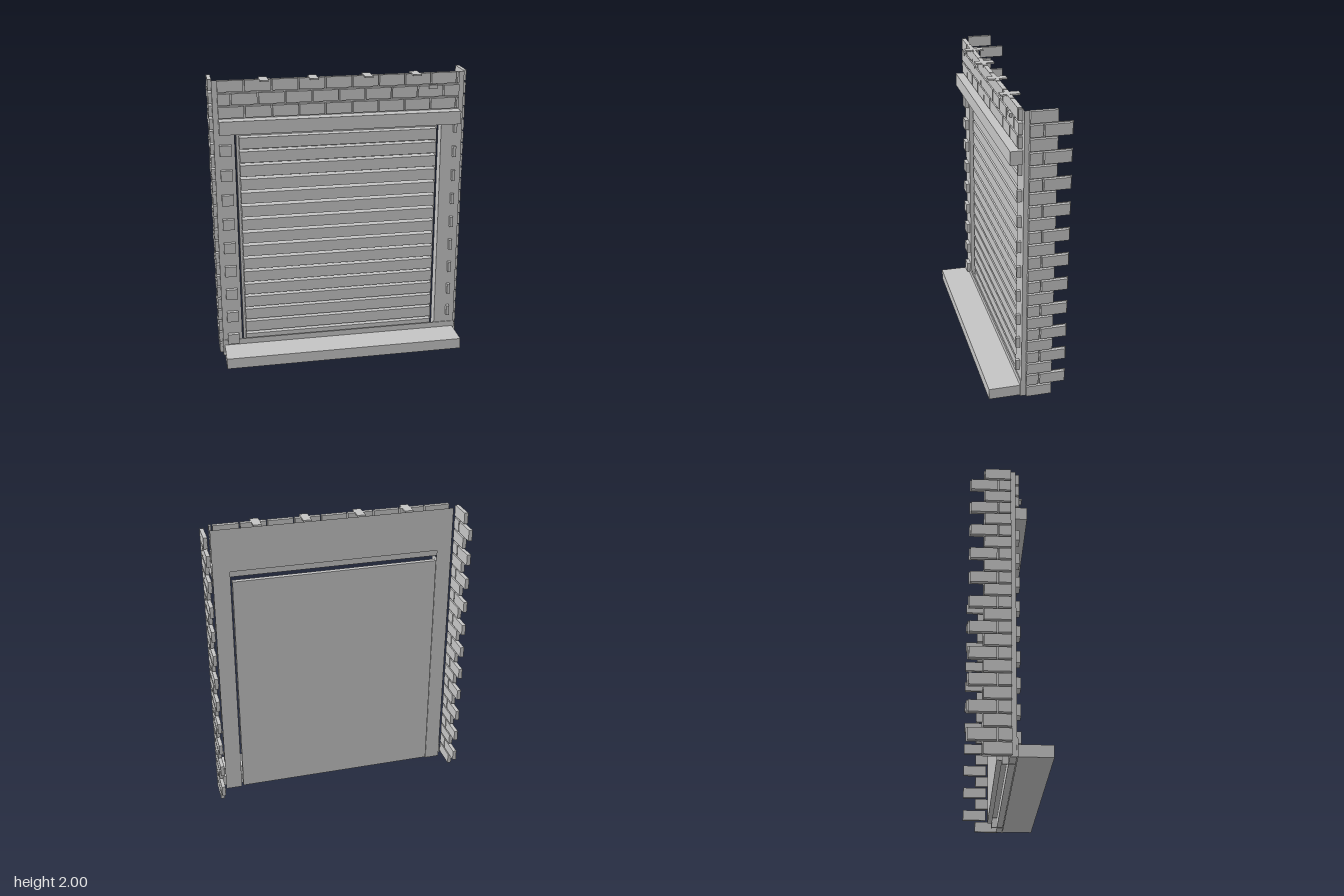
import * as THREE from 'three';

const stone = new THREE.MeshStandardMaterial({ color: 0xc4c4c4 });
stone.name = 'stone grey';

const ROW = 0.0872, ROWS = 23, BRICK_H = 0.075;
const rowY = (k) => 0.007 + k * ROW;

// Box given by its lower and upper limits on each axis
function box(parent, name, x0, x1, y0, y1, z0, z1) {
  const mesh = new THREE.Mesh(new THREE.BoxGeometry(x1 - x0, y1 - y0, z1 - z0), stone);
  mesh.position.set((x0 + x1) / 2, (y0 + y1) / 2, (z0 + z1) / 2);
  mesh.name = name;
  parent.add(mesh);
}

// Flat one-sided sheet from outline points, turned about y to face outwards
function sheet(parent, name, points, turn) {
  const shape = new THREE.Shape(points.map(([x, y]) => new THREE.Vector2(x, y)));
  const mesh = new THREE.Mesh(new THREE.ShapeGeometry(shape), stone);
  mesh.rotation.y = turn;
  mesh.name = name;
  parent.add(mesh);
  return mesh;
}

// Wall outline with a doorway cut up from its lower edge
const doorway = (half, top, sign) => [
  [-half, 0], [-0.717, 0], [-0.717, top], [0.706, top],
  [0.706, 0], [half, 0], [half, 2], [-half, 2],
].map(([x, y]) => [sign * x, y]);

function group(parent, name) {
  const g = new THREE.Group();
  g.name = name;
  parent.add(g);
  return g;
}

export function createModel() {
  const model = new THREE.Group();
  model.name = 'brickDoorBay';

  // Hollow wall: two skins, with jambs and a head lining the opening
  sheet(model, 'frontPanel', doorway(0.854, 1.65, 1), 0).position.z = 0.04;
  sheet(model, 'backPanel', doorway(0.82, 1.705, -1), Math.PI).position.z = -0.042;
  box(model, 'rightJamb', -0.722, -0.717, 0, 1.65, -0.041, 0.039);
  box(model, 'leftJamb', 0.706, 0.711, 0, 1.65, -0.041, 0.039);
  box(model, 'head', -0.82, 0.82, 1.705, 1.71, -0.041, 0);

  // Lintel, sill and threshold
  box(model, 'lintel', -0.82, 0.82, 1.65, 1.74, 0, 0.117);
  box(model, 'sill', -0.845, 0.845, 0.003, 0.08, -0.003, 0.257);
  box(model, 'threshold', -0.857, 0.857, 0, 0.12, 0.037, 0.046);

  // Shutter: a slab with horizontal slats
  const shutter = group(model, 'shutter');
  box(shutter, 'shutterSlab', -0.702, 0.698, 0.03, 1.645, -0.073, -0.04);
  for (let i = 0; i < 16; i++) {
    const top = 1.6 - i * 0.0972;
    box(shutter, 'slat', -0.685, 0.68, top - 0.078, top, -0.041, 0.018);
  }

  // Brick courses above the lintel, in running bond
  const courses = group(model, 'upperBricks');
  for (let k = 20; k < ROWS; k++) {
    const start = k % 2 ? -0.91 : -0.82;
    for (let i = 0; i < 10; i++) {
      const x0 = Math.max(start + i * 0.18, -0.82);
      const x1 = Math.min(start + i * 0.18 + 0.17, 0.815);
      if (x1 - x0 > 0.01) box(courses, 'brick', x0, x1, rowY(k), rowY(k) + BRICK_H, 0.038, 0.067);
    }
  }

  // Alternating bricks beside the shutter
  const quoins = group(model, 'sideBricks');
  for (let k = 1; k < 19; k++) {
    const [x0, x1] = k % 2 ? [-0.82, -0.74] : [0.79, 0.812];
    box(quoins, 'sideBrick', x0, x1, rowY(k), rowY(k) + BRICK_H, 0.038, 0.067);
  }

  // Toothed brick returns at both ends
  for (const side of [-1, 1]) {
    const ret = group(model, side > 0 ? 'leftReturn' : 'rightReturn');
    const outline = [[-0.04, 2], [-0.04, 0]];
    for (let k = 0; k < ROWS; k++) {
      const y0 = rowY(k), y1 = y0 + BRICK_H;
      const brick = (z0, z1) => box(ret, 'returnBrick',
        side > 0 ? 0.852 : -0.878, side > 0 ? 0.878 : -0.852, y0, y1, z0, z1);
      const edge = k % 2 ? 0.26 : 0.167;
      outline.push([edge, k ? y0 - 0.006 : 0], [edge, k < ROWS - 1 ? y0 + ROW - 0.006 : 2]);
      if (k % 2) {
        brick(-0.07, 0.01);
        brick(-0.25, -0.08);
      } else {
        brick(-0.16, 0.01);
      }
    }
    const points = outline.map(([u, y]) => [side * u, y]);
    sheet(ret, 'returnPanel', points, side * Math.PI / 2).position.x = side * 0.854;
  }

  // Flat clips across the top of the wall and one small loose chip
  for (const x of [-0.515, -0.185, 0.18, 0.51]) {
    box(model, 'topClip', x - 0.028, x + 0.028, 1.991, 2.001, -0.02, 0.106);
  }
  box(model, 'brickChip', 0.6, 0.66, 1.895, 1.92, 0.06, 0.08);

  return model;
}
